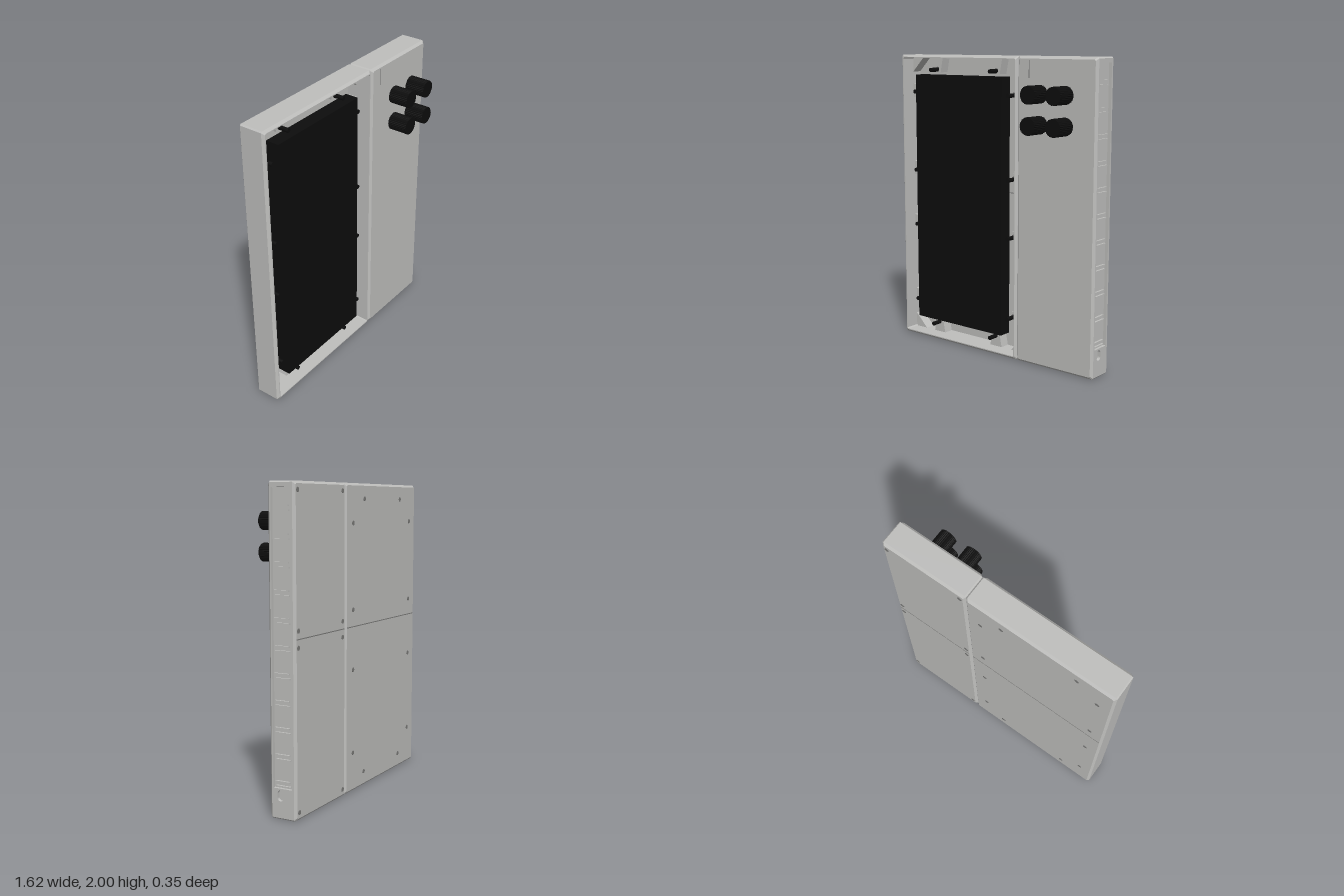
import * as THREE from 'three';

const grey = new THREE.MeshStandardMaterial({ color: 0xbfbfbd });
grey.name = 'light grey plastic';
grey.side = THREE.DoubleSide;
const dark = new THREE.MeshStandardMaterial({ color: 0x7c7c7a });
dark.name = 'seam grey';
const black = new THREE.MeshStandardMaterial({ color: 0x0d0d0d });
black.name = 'black';

const BACK = -0.175, FRONT = 0.01, CH = 0.015, FLOOR = -0.16;

// Rectangle with cut corners, counter-clockwise; segment 1 is the +x side
function ring(x0, x1, inset, z) {
  const a = x0 + inset, b = x1 - inset, lo = inset, hi = 2 - inset, c = 0.008;
  return [[b - c, lo], [b, lo + c], [b, hi - c], [b - c, hi], [a + c, hi], [a, hi - c], [a, lo + c], [a + c, lo]]
    .map(([x, y]) => [x, y, z]);
}

// Join rings into a casing, closing the first and last; skip leaves one side open
function casing(x0, x1, steps, skip) {
  const rings = steps.map(([inset, z]) => ring(x0, x1, inset, z));
  const pos = [];
  const tri = (...p) => p.forEach((q) => pos.push(...q));
  for (let i = 0; i < rings.length - 1; i++) {
    for (let k = 0; k < 8; k++) {
      if (skip && skip(i, k)) continue;
      const n = (k + 1) % 8, A = rings[i], B = rings[i + 1];
      tri(A[k], A[n], B[n]);
      tri(A[k], B[n], B[k]);
    }
  }
  const first = rings[0], last = rings[rings.length - 1];
  for (let k = 1; k < 7; k++) {
    tri(first[0], first[k + 1], first[k]);
    tri(last[0], last[k], last[k + 1]);
  }
  const g = new THREE.BufferGeometry();
  g.setAttribute('position', new THREE.Float32BufferAttribute(pos, 3));
  g.computeVertexNormals();
  return g;
}

function add(parent, name, geo, mat, x = 0, y = 0, z = 0) {
  const m = new THREE.Mesh(geo, mat);
  m.name = name;
  m.position.set(x, y, z);
  parent.add(m);
  return m;
}

const poly = (pts) => new THREE.Shape(pts.map(([x, y]) => new THREE.Vector2(x, y)));
const extrude = (shape, depth) => new THREE.ExtrudeGeometry(shape, { depth, bevelEnabled: false, curveSegments: 12 });

// Upright oval outline
function oval(Type, cx, cy, r, half) {
  const p = new Type();
  p.absarc(cx, cy + half, r, 0, Math.PI);
  p.absarc(cx, cy - half, r, Math.PI, Math.PI * 2);
  p.closePath();
  return p;
}

export function createModel() {
  const model = new THREE.Group();
  model.name = 'displayCabinet';

  // Open display casing: chamfered outside, rim, inner walls, floor
  const display = new THREE.Group();
  display.name = 'displayUnit';
  model.add(display);
  add(display, 'displayCasing', casing(-0.81, 0.21, [[CH, BACK], [0, BACK + CH], [0, FRONT - CH],
    [CH, FRONT], [0.021, FRONT], [0.021, FLOOR]]), grey);
  add(display, 'screen', new THREE.BoxGeometry(0.755, 1.725, 0.09), black, -0.3025, 1.0025, -0.045);
  add(display, 'floorSeam', new THREE.BoxGeometry(0.976, 0.005, 0.002), dark, -0.3, 1.09, FLOOR + 0.001);

  // Tapered mounting lugs with a hole, a black stud and a rear screw
  const lugShape = poly([[0, -0.05], [0.1, -0.03], [0.1, 0.03], [0, 0.05]]);
  const hole = new THREE.Path();
  hole.absarc(0.078, 0, 0.016, 0, Math.PI * 2);
  lugShape.holes.push(hole);
  const lugGeo = extrude(lugShape, 0.07);
  const studGeo = new THREE.CylinderGeometry(0.014, 0.014, 0.08, 12).rotateX(Math.PI / 2);
  const screwGeo = new THREE.CylinderGeometry(0.015, 0.015, 0.003, 14).rotateX(Math.PI / 2);
  const rearScrew = (parent, x, y) => add(parent, 'rearScrew', screwGeo, dark, x, y, BACK - 0.0005);
  function lug(x, y, angle) {
    const m = add(display, 'mountingLug', lugGeo, grey, x, y, FLOOR);
    m.rotation.z = angle;
    const sx = x + Math.cos(angle) * 0.078, sy = y + Math.sin(angle) * 0.078;
    add(display, 'stud', studGeo, black, sx, sy - 0.004, -0.06);
    rearScrew(display, sx, sy);
  }
  for (const y of [1.75, 1.2, 0.81, 0.26]) {
    lug(-0.79, y, 0);
    lug(0.19, y, Math.PI);
  }
  for (const x of [-0.56, -0.04]) {
    lug(x, 1.98, -Math.PI / 2);
    lug(x, 0.02, Math.PI / 2);
  }

  // Triangular corner gussets
  const gussetGeo = extrude(poly([[0, 0], [0.1, 0], [0, 0.1]]), 0.07);
  [[-0.79, 0.02, 0], [0.19, 0.02, 1], [0.19, 1.98, 2], [-0.79, 1.98, 3]].forEach(([x, y, q]) => {
    add(display, 'cornerGusset', gussetGeo, grey, x, y, FLOOR).rotation.z = q * Math.PI / 2;
  });

  // Closed control casing, its right side left open for the port frame
  const control = new THREE.Group();
  control.name = 'controlUnit';
  model.add(control);
  add(control, 'controlCasing', casing(0.212, 0.81, [[CH, BACK], [0, BACK + CH], [0, FRONT - CH], [CH, FRONT]],
    (i, k) => i === 1 && k === 1), grey);

  // Side frame with a long port bay and an oval socket
  const side = poly([[0.005, 0.008], [0.16, 0.008], [0.16, 1.992], [0.005, 1.992]]);
  side.holes.push(new THREE.Path([[0.014, 0.19], [0.014, 1.965], [0.146, 1.965], [0.146, 0.19]]
    .map(([x, y]) => new THREE.Vector2(x, y))));
  side.holes.push(oval(THREE.Path, 0.065, 0.145, 0.021, 0.013));
  add(control, 'portFrame', extrude(side, 0.02), grey, 0.79).rotation.y = Math.PI / 2;
  add(control, 'portPanel', new THREE.BoxGeometry(0.01, 1.98, 0.15), grey, 0.785, 1, -0.0825);
  for (let i = 0; i < 11; i++) {
    const y = 1.86 - i * 0.163;
    add(control, 'portLedge', new THREE.BoxGeometry(0.014, 0.008, 0.1), grey, 0.797, y, -0.075);
    add(control, 'portLedge', new THREE.BoxGeometry(0.014, 0.008, 0.1), grey, 0.797, y - 0.028, -0.08);
  }
  const slot = add(control, 'bottomSocket', extrude(oval(THREE.Shape, 0, 0, 0.014, 0.018), 0.003), dark, 0.64, -0.001, -0.08);
  slot.rotation.set(-Math.PI / 2, 0, Math.PI / 2);
  add(control, 'frontSlit', new THREE.BoxGeometry(0.005, 0.11, 0.002), dark, 0.305, 1.92, FRONT);

  // Knurled knobs
  const rim = [];
  for (let i = 0; i < 64; i++) {
    const a = i / 64 * Math.PI * 2, r = i % 2 ? 0.054 : 0.057;
    rim.push([Math.cos(a) * r, Math.sin(a) * r]);
  }
  const knobGeo = extrude(poly(rim), 0.135);
  for (const x of [0.415, 0.605]) {
    for (const y of [1.77, 1.58]) add(control, 'knob', knobGeo, black, x, y, 0.04);
  }

  // Rear panel seams and control unit screws
  for (const [x, w] of [[-0.3, 0.985], [0.511, 0.565]]) {
    add(model, 'rearSeam', new THREE.BoxGeometry(w, 0.006, 0.002), dark, x, 1.09, BACK);
  }
  for (const x of [0.25, 0.775]) {
    for (const y of [1.95, 1.14, 1.04, 0.05]) rearScrew(control, x, y);
  }
  return model;
}
